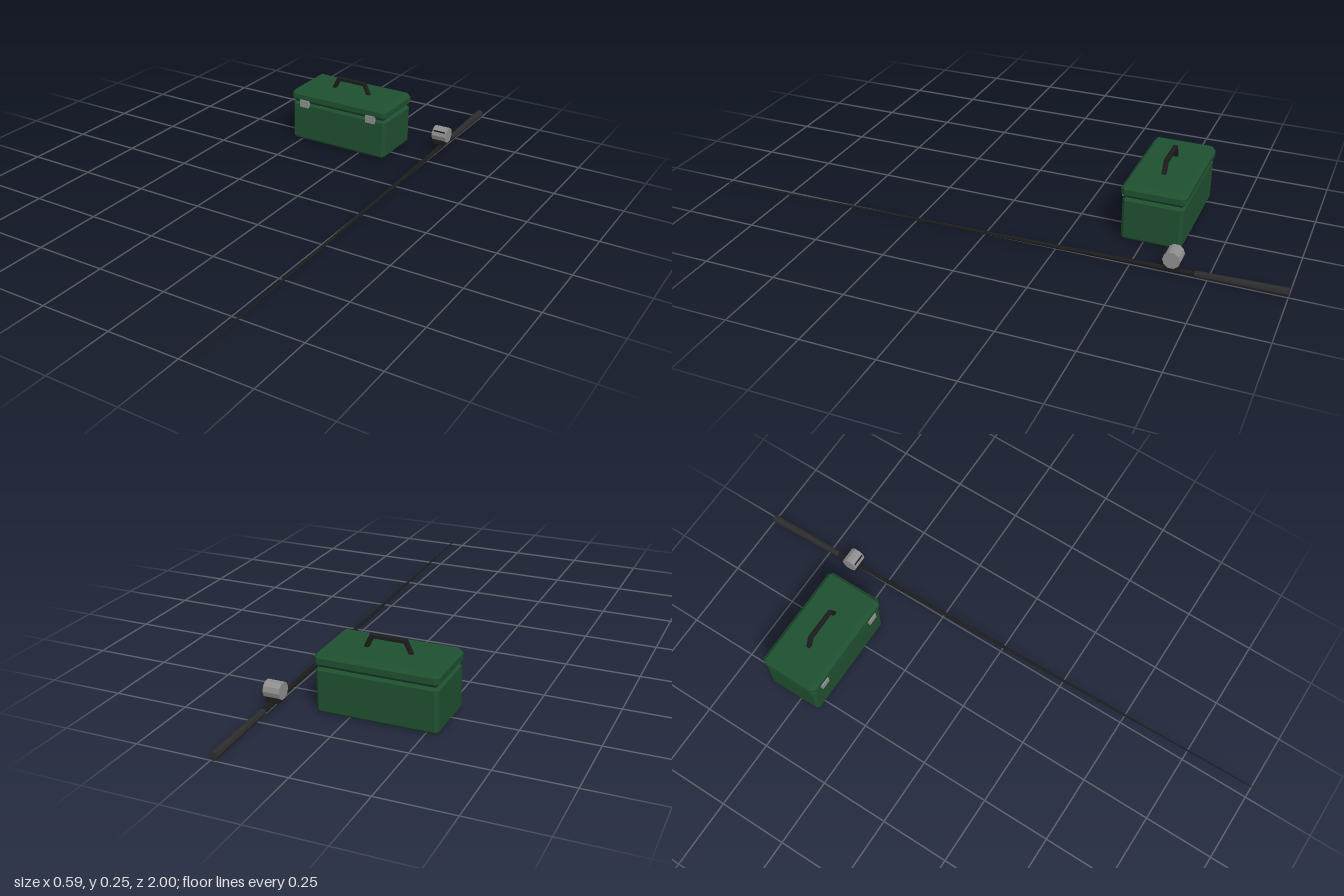
import * as THREE from 'three';
import { ConvexGeometry } from 'three/addons/geometries/ConvexGeometry.js';

const material = (color) => new THREE.MeshStandardMaterial({ color, flatShading: true });
const green = material(0x1f5030);
const black = material(0x1c1c1c);
const grip = material(0x2c2c2c);
const metal = material(0x8f8f8f);

function add(group, name, geometry, mat, x = 0, y = 0, z = 0) {
  const mesh = new THREE.Mesh(geometry, mat);
  mesh.name = name;
  mesh.position.set(x, y, z);
  group.add(mesh);
  return mesh;
}

// Box with every edge and corner cut at 45 degrees
function chamferedBox(w, h, d, c) {
  const points = [];
  for (const sx of [-1, 1]) for (const sy of [-1, 1]) for (const sz of [-1, 1]) {
    for (let axis = 0; axis < 3; axis++) {
      const inset = [c, c, c];
      inset[axis] = 0;
      points.push(new THREE.Vector3(
        sx * (w / 2 - inset[0]), sy * (h / 2 - inset[1]), sz * (d / 2 - inset[2])));
    }
  }
  return new ConvexGeometry(points);
}

// Tapered round bar from a to b
function bar(group, name, a, b, ra, rb, sides, mat) {
  const dir = b.clone().sub(a);
  const mesh = add(group, name, new THREE.CylinderGeometry(rb, ra, dir.length(), sides), mat);
  mesh.position.copy(a).add(b).multiplyScalar(0.5);
  mesh.quaternion.setFromUnitVectors(new THREE.Vector3(0, 1, 0), dir.normalize());
  return mesh;
}

function createTackleBox() {
  const box = new THREE.Group();
  box.name = 'tackleBox';
  box.position.set(-0.09, 0, -0.525);
  add(box, 'boxBody', chamferedBox(0.4, 0.154, 0.206, 0.01), green, 0, 0.077, 0);
  add(box, 'boxLid', chamferedBox(0.408, 0.048, 0.218, 0.014), green, 0, 0.177, 0);

  // Bent carrying handle
  const outline = [
    [-0.081, 0.198], [-0.059, 0.244], [0.059, 0.244], [0.081, 0.198],
    [0.069, 0.198], [0.052, 0.234], [-0.052, 0.234], [-0.069, 0.198],
  ].map(([x, y]) => new THREE.Vector2(x, y));
  const handle = new THREE.ExtrudeGeometry(new THREE.Shape(outline), {
    depth: 0.009, bevelEnabled: true, bevelSegments: 1, bevelSize: 0.002, bevelThickness: 0.003,
  });
  add(box, 'carryHandle', handle, black, 0, 0, -0.0045);

  // Latches bridge the seam at the front
  for (const side of [-1, 1]) {
    add(box, 'latch', new THREE.BoxGeometry(0.037, 0.028, 0.014), metal, side * 0.143, 0.154, 0.107);
  }
  return box;
}

function createFishingRod() {
  const rod = new THREE.Group();
  rod.name = 'fishingRod';
  const butt = new THREE.Vector3(0.241, 0.0145, -1);
  const tip = new THREE.Vector3(0.29, 0.013, 1);
  const along = (t) => butt.clone().lerp(tip, t);
  bar(rod, 'rodGrip', butt, along(0.145), 0.0145, 0.011, 8, grip);
  bar(rod, 'rodBlank', along(0.13), tip, 0.009, 0.002, 8, black);

  // Reel seated on the rod, its drum lying across
  const reel = new THREE.Group();
  reel.name = 'reel';
  reel.position.set(0.2435, 0, -0.638);
  add(reel, 'reelFoot', new THREE.BoxGeometry(0.047, 0.022, 0.044), black, 0, 0.032, 0);
  const drum = add(reel, 'reelDrum', new THREE.CylinderGeometry(0.029, 0.029, 0.057, 10), metal, 0, 0.058, 0);
  drum.rotation.z = Math.PI / 2;
  add(reel, 'lineSlot', new THREE.BoxGeometry(0.047, 0.004, 0.006), black, 0, 0.075, 0.022);
  rod.add(reel);
  return rod;
}

export function createModel() {
  const model = new THREE.Group();
  model.name = 'fishingSet';
  model.add(createTackleBox(), createFishingRod());
  return model;
}
